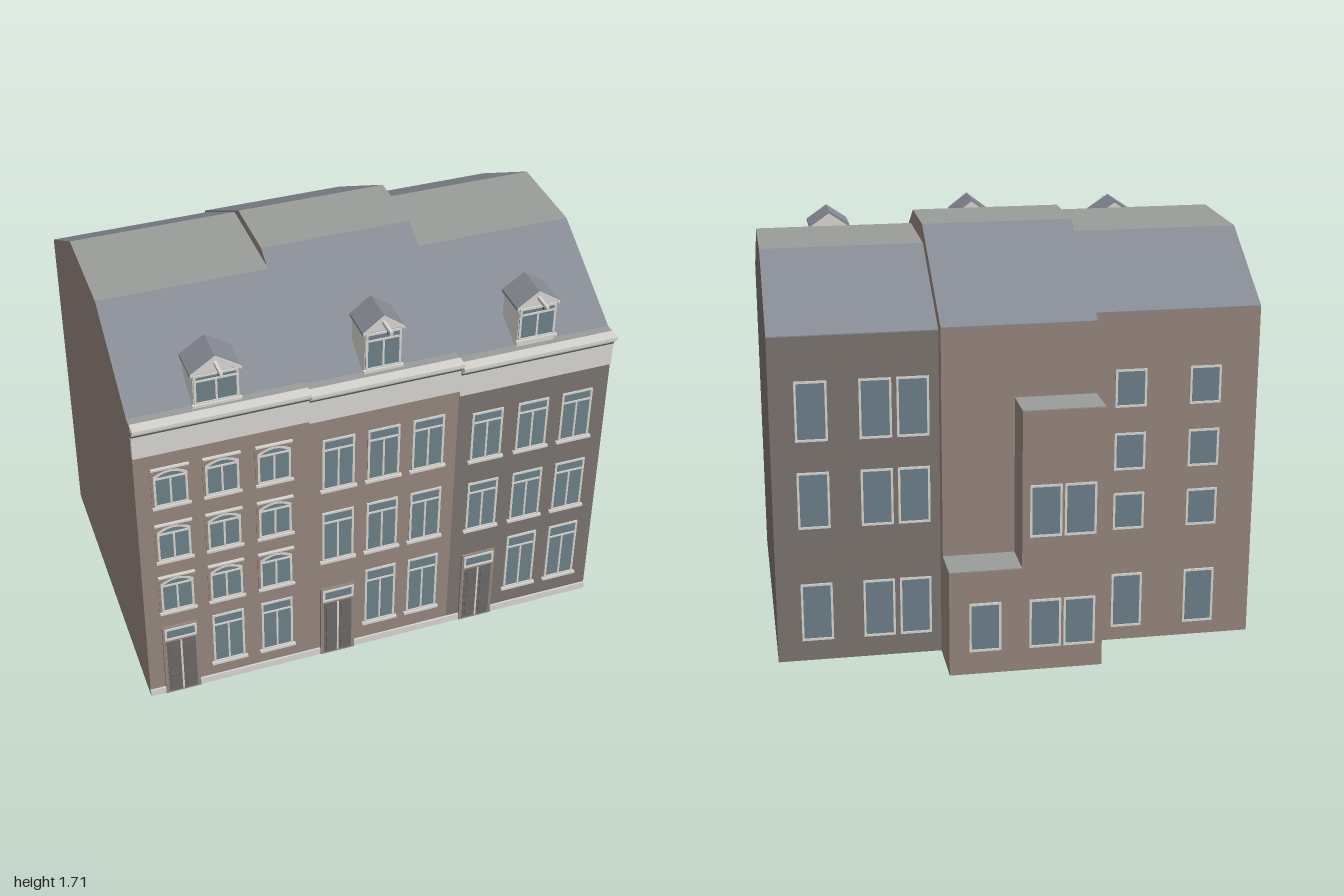
import * as THREE from 'three';

const mat = (color) => new THREE.MeshStandardMaterial({ color, flatShading: true });
const M = {
  brick: mat(0x94857c), brickGrey: mat(0x7b736e), white: mat(0xd6d5d0), glass: mat(0x6c7f88),
  slope: mat(0x868a93), flat: mat(0x9a9c99), door: mat(0x6b6966), dark: mat(0x55565a),
};
const FRONT = 0.76, EDGE = 0.71;

function add(parent, name, geometry, material) {
  const mesh = new THREE.Mesh(geometry, material);
  mesh.name = name;
  parent.add(mesh);
  return mesh;
}

// Box given by its limits
function box(parent, name, material, x0, x1, y0, y1, z0, z1) {
  const g = new THREE.BoxGeometry(x1 - x0, y1 - y0, z1 - z0);
  g.translate((x0 + x1) / 2, (y0 + y1) / 2, (z0 + z1) / 2);
  return add(parent, name, g, material);
}

const polygon = (pts) => new THREE.Shape(pts.map(([a, b]) => new THREE.Vector2(a, b)));

// Profile of [z, y] points run along x; the row's outer ends are slightly skewed
function alongX(pts, x0, x1) {
  const g = new THREE.ExtrudeGeometry(polygon(pts), { depth: x1 - x0, bevelEnabled: false });
  g.rotateY(-Math.PI / 2).translate(x1, 0, 0);
  const p = g.attributes.position;
  for (let i = 0; i < p.count; i++) {
    if (Math.abs(p.getX(i)) > 0.9) p.setX(i, p.getX(i) + 0.011 * (FRONT - p.getZ(i)));
  }
  g.computeVertexNormals();
  return g;
}

// Rectangle with an optional curved head
function pane(Type, w, h, rise) {
  const s = new Type();
  s.moveTo(-w / 2, 0);
  s.lineTo(w / 2, 0);
  s.lineTo(w / 2, h - rise);
  if (rise) s.quadraticCurveTo(0, h + rise, -w / 2, h - rise);
  else s.lineTo(-w / 2, h);
  s.closePath();
  return s;
}

const extrude = (shape, depth) =>
  new THREE.ExtrudeGeometry(shape, { depth, bevelEnabled: false, curveSegments: 6 });

// Window: glass, surround, glazing bars, sill and head
function addWindow(parent, x, y0, y1, z, o = {}) {
  const { w = 0.135, rise = 0, bars = true, sill = true, head = false, back = false } = o;
  const h = y1 - y0, f = 0.009, g = new THREE.Group();
  g.name = 'window';
  g.position.set(x, y0, z);
  if (back) g.rotation.y = Math.PI;
  add(g, 'glass', extrude(pane(THREE.Shape, w, h, rise), 0.002), M.glass);
  const outer = pane(THREE.Shape, w, h, rise);
  const inner = pane(THREE.Path, w - 2 * f, h - 2 * f, rise);
  outer.holes.push(new THREE.Path(inner.getPoints(6).map((p) => p.clone().add(new THREE.Vector2(0, f)))));
  add(g, 'windowFrame', extrude(outer, 0.007), M.white);
  if (bars) {
    box(g, 'mullion', M.white, -0.004, 0.004, f, h * 0.79, 0, 0.006);
    box(g, 'transomBar', M.white, -w / 2 + f, w / 2 - f, h * 0.79 - 0.004, h * 0.79 + 0.004, 0, 0.006);
  }
  if (sill) box(g, 'sill', M.white, -w / 2 - 0.01, w / 2 + 0.01, -0.008, 0.003, 0, 0.014);
  if (head) {
    // Brick arch and drip strip over the window
    const arch = pane(THREE.Shape, w + 0.02, h + 0.012, rise);
    arch.holes.push(pane(THREE.Path, w, h, rise));
    const top = add(g, 'windowSurround', extrude(arch, 0.004), M.brick);
    top.position.z = 0.001;
    box(g, 'dripStrip', M.white, -w / 2 - 0.008, w / 2 + 0.008, h + 0.008, h + 0.015, 0, 0.012);
  }
  parent.add(g);
}

function addDoor(parent, x) {
  const g = new THREE.Group();
  g.name = 'frontDoor';
  g.position.set(x, 0, FRONT);
  box(g, 'doorFrame', M.brick, -0.075, 0.075, 0, 0.37, 0, 0.011);
  for (const s of [-1, 1]) {
    const c = s * 0.032;
    box(g, 'doorLeaf', M.door, c - 0.029, c + 0.029, 0.01, 0.29, 0, 0.013);
    for (const [a, b] of [[0.03, 0.11], [0.13, 0.27]]) {
      box(g, 'doorPanel', M.door, c - 0.018, c + 0.018, a, b, 0, 0.016);
    }
  }
  box(g, 'doorPost', M.white, -0.004, 0.004, 0.01, 0.29, 0, 0.014);
  addWindow(g, 0, 0.305, 0.367, 0.011, { bars: false, sill: false });
  parent.add(g);
}

// Gabled dormer with a hoisting beam
function addDormer(parent, { x, w, eave, ridge, sillY }) {
  const g = new THREE.Group(), z0 = 0.585, z1 = 0.73, h = w / 2;
  g.name = 'dormer';
  g.position.x = x;
  const wall = [[-h + 0.01, 1.39], [h - 0.01, 1.39], [h - 0.01, eave], [0, ridge - 0.01], [-h + 0.01, eave]];
  add(g, 'dormerWalls', extrude(polygon(wall), z1 - z0 - 0.004).translate(0, 0, z0 + 0.002), M.white);
  for (const s of [-1, 1]) {
    const pts = [[0, ridge], [0, ridge - 0.012], [s * h, eave - 0.012], [s * h, eave]];
    add(g, 'dormerRoof', extrude(polygon(pts), z1 - z0).translate(0, 0, z0), M.slope);
    add(g, 'bargeboard', extrude(polygon(pts), 0.006).translate(0, 0, z1), M.white);
  }
  addWindow(g, 0, sillY, eave - 0.005, z1 - 0.002, { w: w - 0.025 });
  box(g, 'hoistBeam', M.white, -0.006, 0.006, ridge - 0.04, ridge - 0.024, z1 - 0.01, 0.81);
  box(g, 'hoistHook', M.dark, -0.005, 0.005, ridge - 0.052, ridge - 0.04, 0.775, 0.785);
  parent.add(g);
}

function addHouse(root, h) {
  const g = new THREE.Group();
  g.name = h.name;
  const { x0, x1, eave, top, rearEave, rear, flat } = h, t = 0.004;
  const line = [[EDGE, eave], [flat[0], top], [flat[1], top], [rear, rearEave]];

  // Walls and the three roof planes
  const shell = [[rear, 0], [FRONT, 0], [FRONT, eave - t], ...line.map(([z, y]) => [z, y - t])];
  add(g, 'walls', alongX(shell, x0, x1), h.wall);
  ['frontRoof', 'flatRoof', 'rearRoof'].forEach((name, i) => {
    const [a, b] = [line[i], line[i + 1]];
    const strip = [a, b, [b[0], b[1] - t], [a[0], a[1] - t]];
    add(g, name, alongX(strip, x0, x1), i === 1 ? M.flat : M.slope);
  });

  // Fascia, gutter and plinth
  box(g, 'fascia', M.white, x0, x1, h.fascia, eave - 0.045, FRONT - 0.01, FRONT + 0.008);
  box(g, 'gutterShadow', M.dark, x0, x1, eave - 0.045, eave - 0.03, FRONT - 0.01, FRONT + 0.012);
  const gutter = [[0.75, eave - 0.03], [0.782, eave - 0.03], [0.787, eave - 0.015], [0.8, eave - 0.01], [0.8, eave + 0.003], [0.75, eave + 0.003]];
  add(g, 'gutter', alongX(gutter, x0, x1), M.white);
  box(g, 'eavesLedge', M.flat, x0, x1, eave - 0.01, eave, EDGE - 0.01, 0.752);
  box(g, 'plinth', M.white, x0, x1, 0, 0.033, FRONT - 0.01, FRONT + 0.008);

  // Street windows and door
  for (const [y0, y1] of h.rows) {
    for (const x of h.cols) addWindow(g, x, y0, y1, FRONT, { rise: h.rise, head: h.rise > 0 });
  }
  for (const x of h.cols.slice(1)) addWindow(g, x, h.ground[0], h.ground[1], FRONT);
  addDoor(g, h.cols[0]);
  addDormer(g, h.dormer);

  // Rear windows
  for (const [x, z, y0, y1] of h.rearWindows) {
    addWindow(g, x, y0, y1, z, { w: 0.13, bars: false, sill: false, back: true });
  }
  root.add(g);
  return g;
}

const grid = (xs, z, rows) => rows.flatMap(([a, b]) => xs.map((x) => [x, z, a, b]));

export function createModel() {
  const root = new THREE.Group();
  root.name = 'terraceHouses';

  addHouse(root, {
    name: 'archedWindowHouse', x0: -1, x1: -0.302, wall: M.brick,
    eave: 1.42, top: 1.67, rearEave: 1.43, rear: -0.588, flat: [0.28, -0.17], fascia: 1.27,
    cols: [-0.86, -0.655, -0.445], rise: 0.022,
    rows: [[0.455, 0.633], [0.73, 0.905], [1.01, 1.185]], ground: [0.105, 0.372],
    dormer: { x: -0.655, w: 0.2, eave: 1.575, ridge: 1.642, sillY: 1.435 },
    rearWindows: grid([-0.455, -0.765], -0.588, [[0.06, 0.3], [0.5, 0.66], [0.76, 0.92], [1.03, 1.19]]),
  });

  const middle = addHouse(root, {
    name: 'middleHouse', x0: -0.302, x1: 0.325, wall: M.brick,
    eave: 1.41, top: 1.71, rearEave: 1.41, rear: -0.635, flat: [0.19, -0.11], fascia: 1.26,
    cols: [-0.18, 0.01, 0.2], rise: 0,
    rows: [[0.525, 0.785], [0.905, 1.16]], ground: [0.12, 0.42],
    dormer: { x: 0.01, w: 0.17, eave: 1.605, ridge: 1.67, sillY: 1.43 },
    rearWindows: [
      ...grid([-0.065, -0.205], -0.808, [[0.1, 0.31], [0.58, 0.8]]),
      [0.18, -0.808, 0.1, 0.31],
    ],
  });

  // Rear extensions of the middle house
  for (const [x0, x1, y] of [[-0.302, 0.03, 1.11], [0.03, 0.325, 0.45]]) {
    box(middle, 'rearExtension', M.brick, x0, x1, 0, y - 0.004, -0.808, -0.63);
    box(middle, 'extensionRoof', M.flat, x0, x1, y - 0.004, y, -0.808, -0.63);
  }

  addHouse(root, {
    name: 'greyHouse', x0: 0.325, x1: 0.985, wall: M.brickGrey,
    eave: 1.385, top: 1.635, rearEave: 1.385, rear: -0.57, flat: [0.27, -0.13], fascia: 1.235,
    cols: [0.455, 0.655, 0.85], rise: 0,
    rows: [[0.51, 0.765], [0.885, 1.13]], ground: [0.12, 0.415],
    dormer: { x: 0.655, w: 0.18, eave: 1.575, ridge: 1.637, sillY: 1.42 },
    rearWindows: grid([0.835, 0.58, 0.43], -0.57, [[0.09, 0.34], [0.58, 0.82], [0.95, 1.2]]),
  });

  return root;
}
